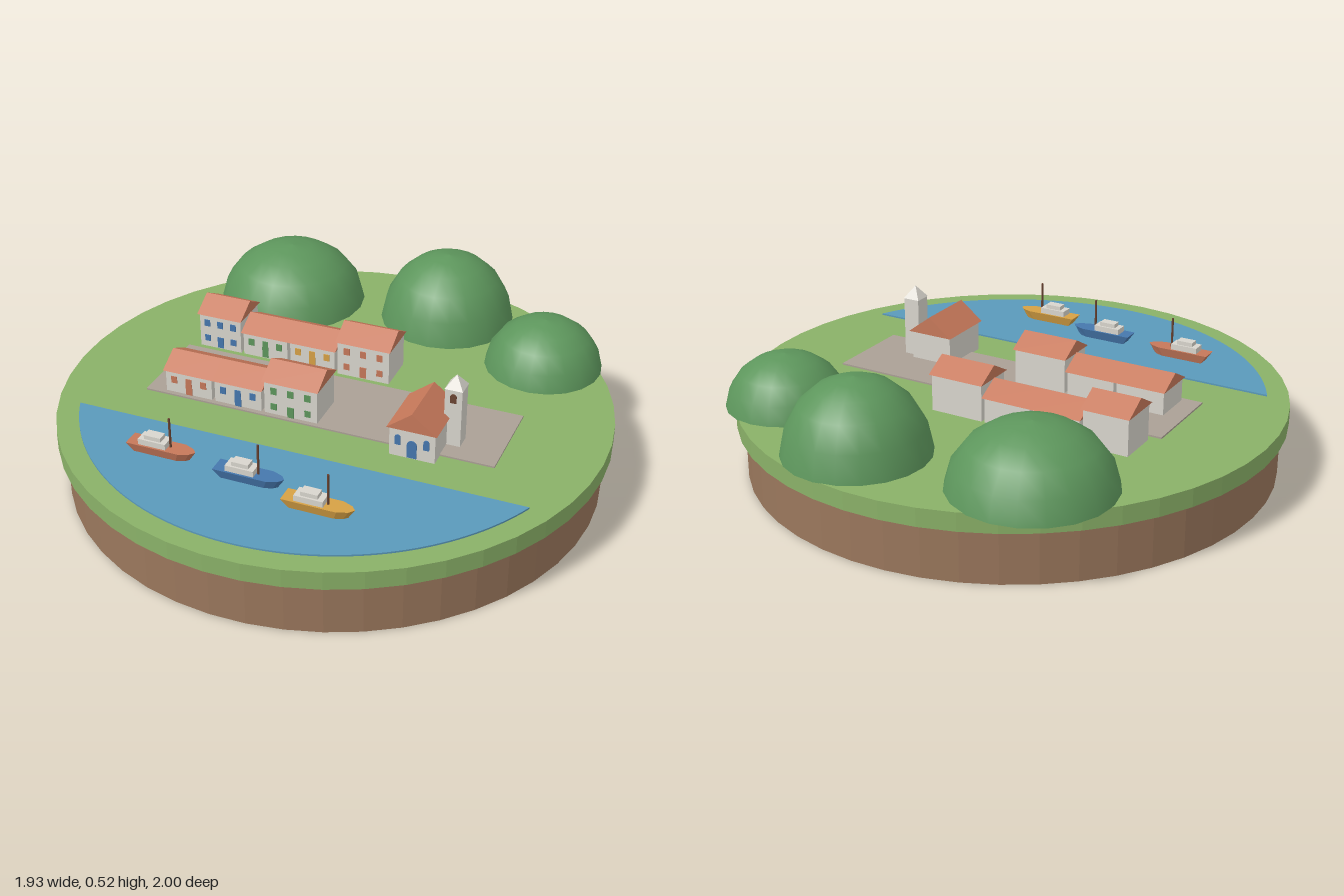
import * as THREE from 'three';

const GROUND = 0.255;

export function createModel() {
  const model = new THREE.Group();
  model.name = 'harbourIsland';

  const mat = (name, color) => Object.assign(new THREE.MeshStandardMaterial({ color }), { name });
  const earth = mat('earth', 0x9a775c);
  const grass = mat('grass', 0x8ab168);
  const hillGreen = mat('hill green', 0x5d965c);
  const water = mat('water', 0x5a99ba);
  const paving = mat('paving', 0xaaa095);
  const wall = mat('wall white', 0xd8d5cd);
  const tile = mat('roof terracotta', 0xc6785a);
  const blue = mat('paint blue', 0x4677ad);
  const yellow = mat('paint yellow', 0xd6a145);
  const wood = mat('dark wood', 0x6b4432);
  hillGreen.side = THREE.DoubleSide;

  const add = (parent, name, geometry, material, x = 0, y = 0, z = 0) => {
    const mesh = new THREE.Mesh(geometry, material);
    mesh.name = name;
    mesh.position.set(x, y, z);
    parent.add(mesh);
    return mesh;
  };
  const box = (w, h, d) => new THREE.BoxGeometry(w, h, d);
  const flat = (geometry) => {
    const g = geometry.index ? geometry.toNonIndexed() : geometry;
    g.computeVertexNormals();
    return g;
  };

  // Round base: earth with a slightly wider grass slab
  add(model, 'earthBase', flat(new THREE.CylinderGeometry(0.938, 0.938, 0.19, 48)), earth, 0, 0.095, 0.03);
  add(model, 'grassSlab', flat(new THREE.CylinderGeometry(0.966, 0.966, 0.065, 48)), grass, 0, 0.2225, 0.03);

  // Wooded hills: rounded domes
  const dome = [[1, 0], [0.92, 0.36], [0.74, 0.66], [0.5, 0.86], [0.26, 0.96], [0, 1]]
    .map(([r, y]) => new THREE.Vector2(r, y));
  for (const [x, z, r, h] of [
    [-0.195, -0.723, 0.277, 0.222], [0.4, -0.58, 0.25, 0.263], [0.74, -0.24, 0.212, 0.183],
  ]) {
    const hill = add(model, 'hill', new THREE.LatheGeometry(dome, 20), hillGreen, x, GROUND - 0.001, z);
    hill.scale.set(r, h, r);
  }

  // Everything in the harbour is laid out in one turned frame
  const harbour = new THREE.Group();
  harbour.name = 'harbour';
  harbour.position.z = 0.03;
  harbour.rotation.y = -THREE.MathUtils.degToRad(20);
  model.add(harbour);

  // Harbour basin: a circle segment cut by the quay line
  const half = Math.acos(0.367 / 0.888);
  const basin = new THREE.Shape();
  basin.absarc(0, 0, 0.888, Math.PI / 2 - half, Math.PI / 2 + half, false);
  basin.closePath();
  const basinGeo = new THREE.ExtrudeGeometry(basin, { depth: 0.008, bevelEnabled: false, curveSegments: 32 });
  add(harbour, 'water', basinGeo.rotateX(Math.PI / 2), water, 0, GROUND + 0.006, 0);

  add(harbour, 'square', box(1.28, 0.008, 0.33), paving, 0, GROUND + 0.002, 0.03);

  // Gable roof prism, ridge along x, base at y = 0
  const gableRoof = (w, d, h) => {
    const s = new THREE.Shape([[-d / 2, 0], [d / 2, 0], [0, h]].map(([x, y]) => new THREE.Vector2(x, y)));
    return new THREE.ExtrudeGeometry(s, { depth: w, bevelEnabled: false })
      .translate(0, 0, -w / 2).rotateY(Math.PI / 2);
  };

  // House between u0 and u1, with painted windows and a door on the front
  const house = (u0, u1, v, wallH, roofH, paint, columns) => {
    const g = new THREE.Group();
    g.name = 'house';
    g.position.set((u0 + u1) / 2, GROUND, v);
    harbour.add(g);
    const w = u1 - u0, d = 0.17, face = (d - 0.02) / 2;
    add(g, 'walls', box(w - 0.012, wallH, d - 0.02), wall, 0, wallH / 2, 0);
    add(g, 'roof', gableRoof(w, d, roofH), tile, 0, wallH, 0);
    const step = (w - 0.02) / columns;
    for (let i = 0; i < columns; i++) {
      const x = (i - (columns - 1) / 2) * step;
      add(g, 'window', box(0.022, 0.026, 0.006), paint, x, wallH - 0.034, face);
      if (i === columns >> 1) add(g, 'door', box(0.024, 0.042, 0.006), paint, x, 0.025, face);
      else if (wallH > 0.1) add(g, 'window', box(0.022, 0.024, 0.006), paint, x, 0.036, face);
    }
  };
  const TALL = [0.132, 0.047], LOW = [0.09, 0.045];
  // Back row
  house(-0.61, -0.435, -0.237, ...TALL, blue, 3);
  house(-0.435, -0.25, -0.237, ...LOW, hillGreen, 3);
  house(-0.25, -0.065, -0.237, ...LOW, yellow, 3);
  house(-0.065, 0.142, -0.237, ...TALL, tile, 3);
  // Front row
  house(-0.575, -0.386, 0.103, ...LOW, tile, 3);
  house(-0.386, -0.197, 0.103, ...LOW, blue, 3);
  house(-0.197, 0.011, 0.103, ...TALL, hillGreen, 3);

  // Chapel: gable to the water, arched door and windows, square tower
  const chapel = new THREE.Group();
  chapel.name = 'chapel';
  chapel.position.set(0.371, GROUND, 0.146);
  harbour.add(chapel);
  const archPlate = (w, h) => {
    const s = new THREE.Shape();
    s.moveTo(-w / 2, 0);
    s.lineTo(w / 2, 0);
    s.lineTo(w / 2, h - w / 2);
    s.absarc(0, h - w / 2, w / 2, 0, Math.PI, false);
    s.closePath();
    return new THREE.ExtrudeGeometry(s, { depth: 0.006, bevelEnabled: false, curveSegments: 6 });
  };
  add(chapel, 'nave', box(0.16, 0.11, 0.2), wall, 0, 0.055, 0);
  add(chapel, 'naveRoof', gableRoof(0.22, 0.176, 0.068), tile, 0, 0.11, 0).rotation.y = Math.PI / 2;
  add(chapel, 'chapelDoor', archPlate(0.034, 0.066), blue, 0, 0.004, 0.098);
  for (const s of [-1, 1]) {
    add(chapel, 'chapelWindow', archPlate(0.02, 0.038), blue, s * 0.05, 0.046, 0.098);
  }
  add(chapel, 'tower', box(0.06, 0.22, 0.06), wall, 0.098, 0.11, -0.047);
  const spire = flat(new THREE.ConeGeometry(0.045, 0.045, 4).rotateY(Math.PI / 4));
  add(chapel, 'spire', spire, wall, 0.098, 0.2425, -0.047);
  add(chapel, 'belfryOpening', archPlate(0.022, 0.034), wood, 0.098, 0.172, -0.02);

  // Fishing boats: flared hull with a pointed bow, stepped cabin and mast
  const hullGeometry = () => {
    const plan = [[-0.12, -0.032], [0.07, -0.032], [0.105, -0.018], [0.12, 0], [0.105, 0.018], [0.07, 0.032], [-0.12, 0.032]];
    const s = new THREE.Shape(plan.map(([x, y]) => new THREE.Vector2(x, y)));
    const g = new THREE.ExtrudeGeometry(s, { depth: 0.036, bevelEnabled: false })
      .rotateX(Math.PI / 2).translate(0, 0.036, 0);
    const p = g.attributes.position;
    for (let i = 0; i < p.count; i++) {
      if (p.getY(i) < 0.01) p.setXYZ(i, p.getX(i) * 0.8, 0, p.getZ(i) * 0.65);
    }
    return flat(g);
  };
  for (const [u, v, paint] of [[-0.395, 0.538, tile], [-0.064, 0.568, blue], [0.205, 0.634, yellow]]) {
    const boat = new THREE.Group();
    boat.name = 'boat';
    boat.position.set(u, GROUND + 0.004, v);
    harbour.add(boat);
    add(boat, 'hull', hullGeometry(), paint);
    add(boat, 'cabin', box(0.1, 0.022, 0.05), wall, -0.028, 0.046, 0);
    add(boat, 'wheelhouse', box(0.06, 0.016, 0.036), wall, -0.028, 0.064, 0);
    add(boat, 'mast', new THREE.CylinderGeometry(0.004, 0.004, 0.115, 6), wood, 0.03, 0.09, 0);
  }

  return model;
}
